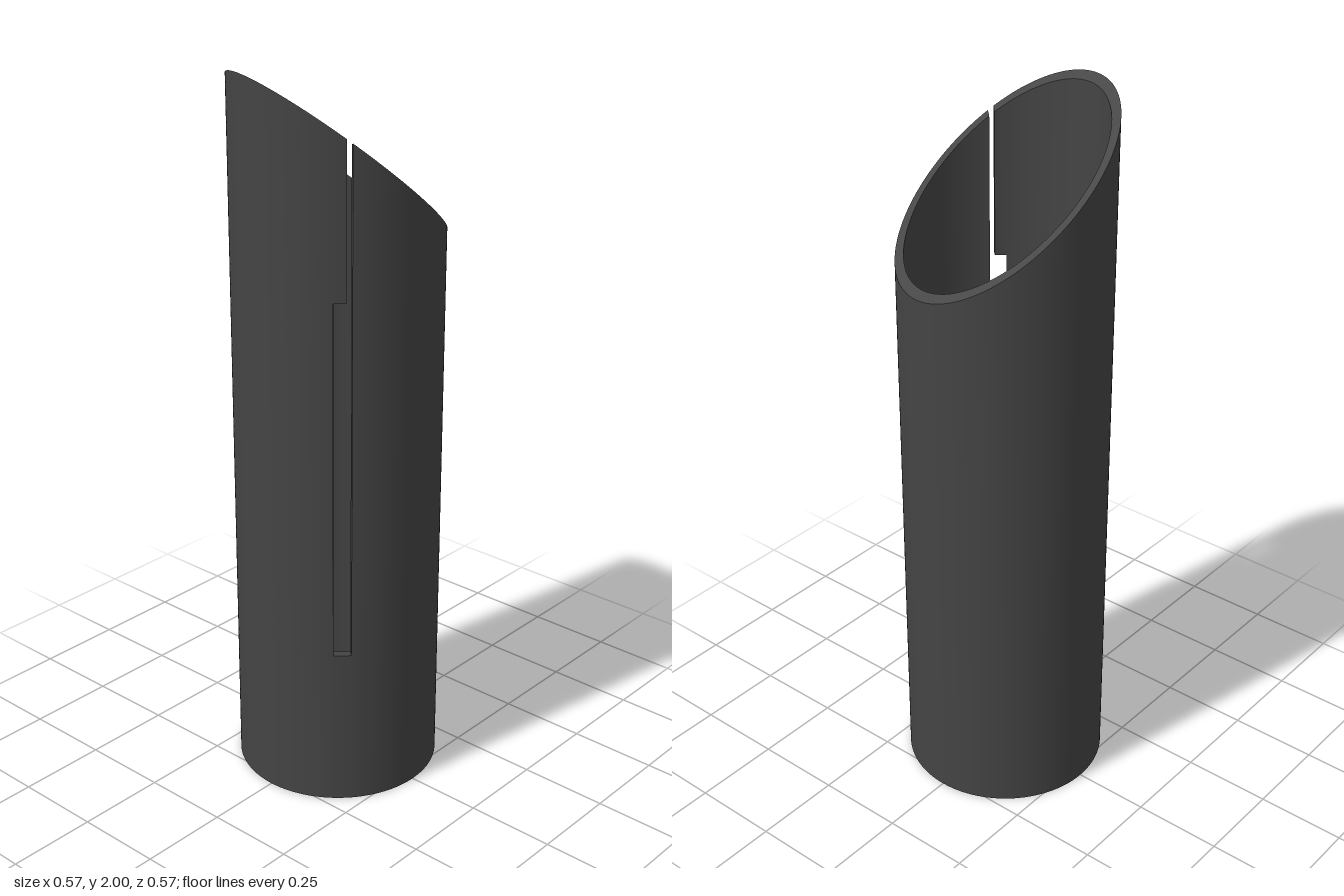
import * as THREE from 'three';

const OUTER = 0.283, INNER = 0.26, FLOOR = 0.023;
const SLOT_LOW = 0.455, SLOT_HIGH = 1.455;
const deg = Math.PI / 180;
// Angles run from the front towards -x
const NOTCH_START = 41.1 * deg, NOTCH_END = 44.1 * deg, SLOT_END = 51 * deg;

const point = (r, t, height) => {
  const x = -r * Math.sin(t), z = r * Math.cos(t);
  return [x, height(x, z), z];
};
// Heights: slanted mouth, or a level
const mouth = (x, z) => 1.765 - 0.79 * x - 0.25 * z;
const level = (y) => () => y;

// Solid curved piece of wall between two angles and two heights
function wallGeometry(t0, t1, bottom, top) {
  const positions = [], indices = [];
  const steps = Math.max(2, Math.ceil((t1 - t0) / (2.5 * deg)));
  const section = (t) => [
    point(OUTER, t, bottom), point(OUTER, t, top),
    point(INNER, t, top), point(INNER, t, bottom),
  ];
  // Outside, rim, inside and underside each get their own vertices for crisp edges
  for (let side = 0; side < 4; side++) {
    const base = positions.length / 3;
    for (let i = 0; i <= steps; i++) {
      const s = section(t0 + (t1 - t0) * i / steps);
      positions.push(...s[side], ...s[(side + 1) % 4]);
      if (i < steps) {
        const a = base + i * 2;
        indices.push(a, a + 1, a + 3, a, a + 3, a + 2);
      }
    }
  }
  // End faces
  for (const [t, order] of [[t0, [0, 3, 2, 1]], [t1, [0, 1, 2, 3]]]) {
    const base = positions.length / 3, s = section(t);
    for (const k of order) positions.push(...s[k]);
    indices.push(base, base + 1, base + 2, base, base + 2, base + 3);
  }
  const geometry = new THREE.BufferGeometry();
  geometry.setAttribute('position', new THREE.Float32BufferAttribute(positions, 3));
  geometry.setIndex(indices);
  geometry.computeVertexNormals();
  return geometry;
}

export function createModel() {
  const group = new THREE.Group();
  group.name = 'slantedTube';
  const charcoal = new THREE.MeshStandardMaterial({ color: 0x444444 });
  charcoal.name = 'charcoal';

  const add = (name, geometry) => {
    const mesh = new THREE.Mesh(geometry, charcoal);
    mesh.name = name;
    group.add(mesh);
    return mesh;
  };

  // Main wall, all the way round except for the slot
  add('mainWall', wallGeometry(SLOT_END, NOTCH_START + Math.PI * 2, level(0), mouth));
  // Wall under the slot
  add('wallBelowSlot', wallGeometry(NOTCH_START, SLOT_END, level(0), level(SLOT_LOW)));
  // Wall over the slot, leaving a narrow notch up to the mouth
  add('wallAboveSlot', wallGeometry(NOTCH_END, SLOT_END, level(SLOT_HIGH), mouth));
  // Closed base
  add('base', new THREE.CylinderGeometry(INNER, INNER, FLOOR, 144)).position.y = FLOOR / 2;

  return group;
}
